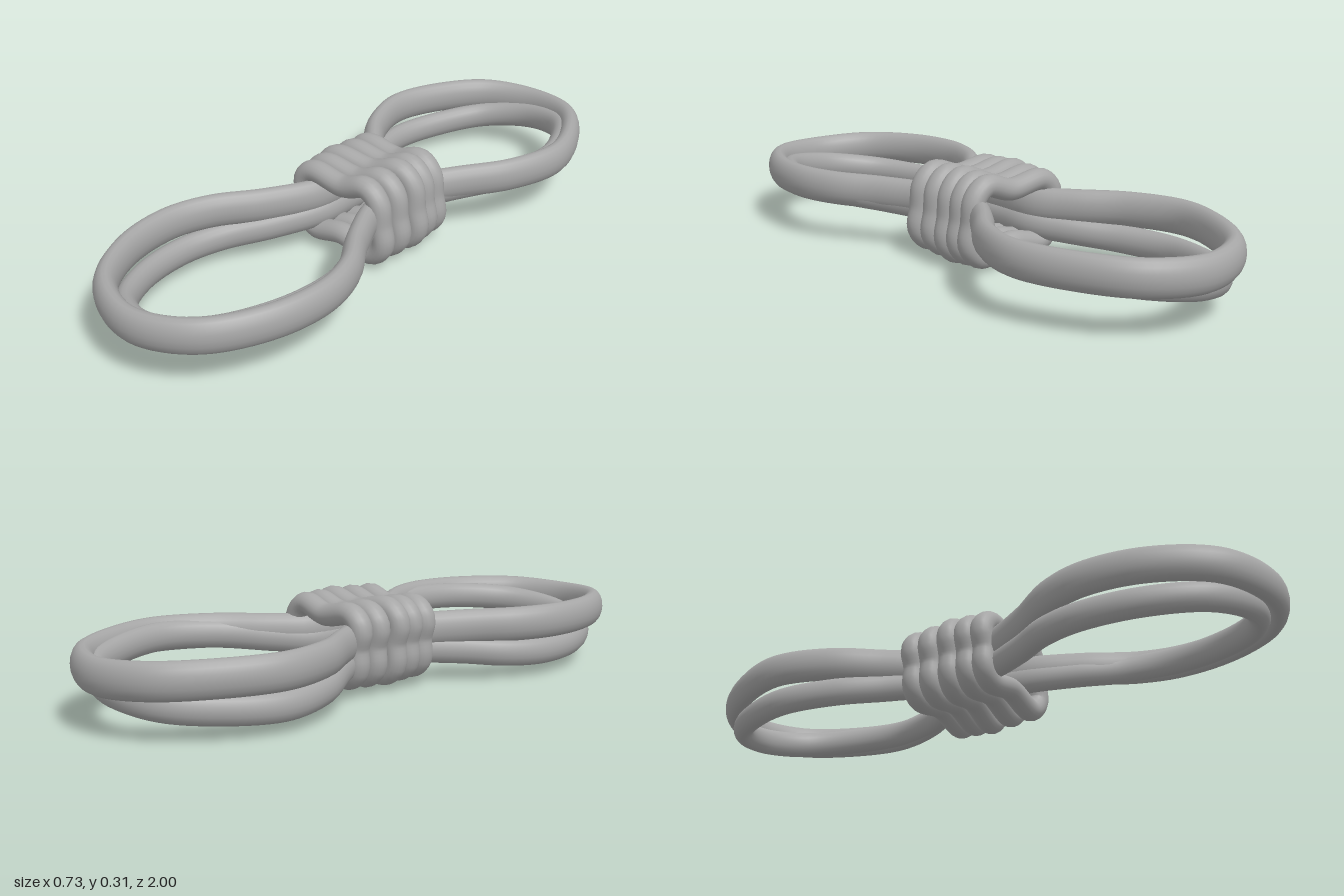
import * as THREE from 'three';

// Sweeps an oval section along a closed curve; b is the half size along 'ref', a across it.
function closedRope(points, ref, a, b, steps, sides = 18) {
  const curve = new THREE.CatmullRomCurve3(points, true, 'centripetal');
  const pos = [], idx = [];
  for (let i = 0; i < steps; i++) {
    const p = curve.getPointAt(i / steps);
    const t = curve.getTangentAt(i / steps);
    const u = new THREE.Vector3().crossVectors(ref, t).normalize();
    const v = new THREE.Vector3().crossVectors(t, u);
    for (let j = 0; j < sides; j++) {
      const w = (j / sides) * Math.PI * 2;
      const q = p.clone().addScaledVector(u, a * Math.cos(w)).addScaledVector(v, b * Math.sin(w));
      pos.push(q.x, q.y, q.z);
      const i2 = ((i + 1) % steps) * sides, i1 = i * sides, j2 = (j + 1) % sides;
      idx.push(i1 + j, i1 + j2, i2 + j, i1 + j2, i2 + j2, i2 + j);
    }
  }
  const g = new THREE.BufferGeometry();
  g.setAttribute('position', new THREE.Float32BufferAttribute(pos, 3));
  g.setIndex(idx);
  g.computeVertexNormals();
  return g;
}

export function createModel() {
  const group = new THREE.Group();
  const rope = new THREE.MeshStandardMaterial({ color: 0xa6a6a6 });
  rope.name = 'grey rope';
  const add = (name, geometry) => {
    const m = new THREE.Mesh(geometry, rope);
    m.name = name;
    group.add(m);
  };

  // Right half of the double loop seen from above, back tip to front tip (x, z)
  const half = [
    [0, -0.965], [0.17, -0.91], [0.28, -0.76], [0.332, -0.58], [0.28, -0.4], [0.175, -0.25],
    [0.11, -0.14], [0.105, -0.03], [0.11, 0.09], [0.19, 0.26], [0.28, 0.4], [0.318, 0.54],
    [0.29, 0.73], [0.18, 0.9], [0, 0.965],
  ];
  const outline = [...half, ...half.slice(1, -1).reverse().map(([x, z]) => [-x, z])];
  const up = new THREE.Vector3(0, 1, 0);

  // Upper strand lies level, lower strand sits inside it and tilts down towards -x
  add('upperStrand', closedRope(
    outline.map(([x, z]) => new THREE.Vector3(x, 0.165 + 0.04 * Math.abs(x), z)),
    up, 0.035, 0.055, 180));
  add('lowerStrand', closedRope(
    outline.map(([x, z]) => new THREE.Vector3(x * 0.93, 0.125 + 0.15 * x, z * (z > 0 ? 0.94 : 0.965))),
    up, 0.034, 0.045, 180));

  // Peanut-shaped centre line of one wrap of the knot (x, y)
  const wrap = [
    [-0.13, 0.255], [0, 0.24], [0.1, 0.265], [0.145, 0.225], [0.155, 0.15], [0.165, 0.08],
    [0.12, 0.035], [0, 0.065], [-0.12, 0.05], [-0.157, 0.085], [-0.155, 0.15], [-0.17, 0.215],
  ];
  // Wraps along the knot: z, slant, scale
  const wraps = [
    [-0.165, 0, 0.96], [-0.105, -0.05, 0.98], [-0.04, -0.12, 1.02], [0.03, -0.06, 0.98], [0.098, 0, 0.96],
  ];
  const along = new THREE.Vector3(0, 0, 1);
  wraps.forEach(([z, slant, s], i) => add('knotWrap' + (i + 1), closedRope(
    wrap.map(([x, y]) => new THREE.Vector3(x * s, 0.15 + (y - 0.15) * s, z + slant * x)),
    along, 0.035, 0.037, 72)));

  return group;
}
